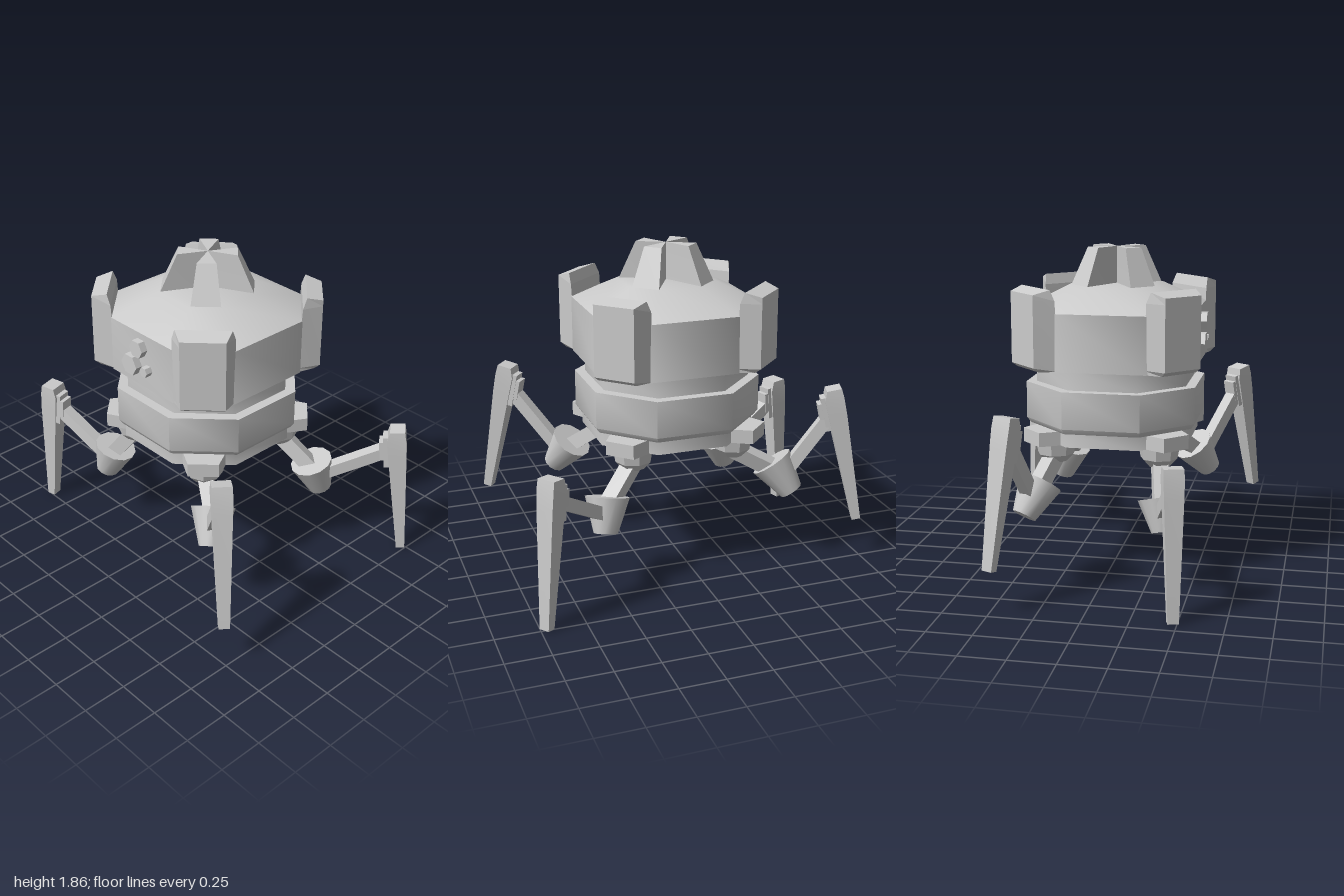
import * as THREE from 'three';
import { toCreasedNormals } from 'three/addons/utils/BufferGeometryUtils.js';

const grey = new THREE.MeshStandardMaterial({ color: 0xcccccc });
const V = (x, y, z) => new THREE.Vector3(x, y, z);

function mesh(name, geometry, parent, crease = 0.4) {
  const m = new THREE.Mesh(toCreasedNormals(geometry, crease), grey);
  m.name = name;
  parent.add(m);
  return m;
}

// Skin a stack of cross-sections (each a loop of [x, y, z]) and cap both ends
function loft(rings) {
  const pos = [];
  const tri = (...p) => p.forEach((q) => pos.push(...q));
  const n = rings[0].length;
  for (let r = 0; r + 1 < rings.length; r++) {
    const lo = rings[r], hi = rings[r + 1];
    for (let i = 0; i < n; i++) {
      const j = (i + 1) % n;
      tri(lo[i], hi[i], hi[j]);
      tri(lo[i], hi[j], lo[j]);
    }
  }
  const first = rings[0], last = rings[rings.length - 1];
  for (let i = 1; i + 1 < n; i++) {
    tri(first[0], first[i], first[i + 1]);
    tri(last[0], last[i + 1], last[i]);
  }
  const g = new THREE.BufferGeometry();
  g.setAttribute('position', new THREE.Float32BufferAttribute(pos, 3));
  return g;
}

// Octagon: a = distance to the flats, c = half width of the four main flats
const octagon = (y, a, c) => [[a, c], [c, a], [-c, a], [-a, c], [-a, -c], [-c, -a], [c, -a], [a, -c]]
  .map(([x, z]) => [x, y, z]);

// Trapezoid across a radial axis: inner distance, half width and height, then outer
const trapezoid = (di, hi, yi, dOut, ho, yo) =>
  [[di, yi, -hi], [dOut, yo, -ho], [dOut, yo, ho], [di, yi, hi]];

// Stand an object at point a with its y axis toward b and x axis leaning along out
function orient(obj, a, b, out) {
  const y = b.clone().sub(a).normalize();
  const z = out.clone().cross(y).normalize();
  const x = y.clone().cross(z);
  obj.quaternion.setFromRotationMatrix(new THREE.Matrix4().makeBasis(x, y, z));
  obj.position.copy(a);
  return obj;
}

function strut(name, a, b, width, out, parent) {
  const len = a.distanceTo(b);
  const g = new THREE.BoxGeometry(width, len, width).translate(0, len / 2, 0);
  orient(mesh(name, g, parent), a, b, out);
}

function buildBody() {
  const body = new THREE.Group();
  body.name = 'body';
  body.position.x = 0.04;

  // Hollow base plate, wide ring and narrow neck in one profile
  mesh('lowerHull', loft([
    [0.93, 0.2], [0.78, 0.36], [0.78, 0.45], [0.86, 0.45], [0.86, 0.465],
    [0.89, 0.485], [1.1, 0.485], [1.1, 0.43], [1.215, 0.43],
  ].map(([y, a]) => octagon(y, a, a * 0.45))), body, 0.85);

  // Upper drum with sloping roof
  mesh('upperHull', loft([
    octagon(1.21, 0.485, 0.25), octagon(1.53, 0.485, 0.25), octagon(1.65, 0.25, 0.12),
  ]), body, 0.85);

  for (let k = 0; k < 4; k++) {
    const corner = new THREE.Group();
    corner.name = 'corner';
    corner.rotation.y = -Math.PI / 4 - (k * Math.PI) / 2;
    body.add(corner);

    mesh('cornerPost', loft([
      trapezoid(0.5, 0.166, 1.21, 0.595, 0.115, 1.21),
      trapezoid(0.5, 0.166, 1.235, 0.629, 0.12, 1.235),
      trapezoid(0.52, 0.166, 1.6, 0.629, 0.12, 1.6),
      trapezoid(0.54, 0.15, 1.66, 0.629, 0.12, 1.635),
    ]), corner, 0.1);

    mesh('legMount', loft([0.78, 0.86].map((y) => trapezoid(0.42, 0.13, y, 0.58, 0.085, y))), corner);

    // Faceted hip socket under the mount
    const socket = [[0, 0.655], [0.065, 0.665], [0.105, 0.71], [0.118, 0.785], [0, 0.785]];
    const g = new THREE.LatheGeometry(socket.map(([r, y]) => new THREE.Vector2(r, y)), 8);
    mesh('hipSocket', g, corner, 0.1).position.x = 0.42;

    // Wedge of the roof cap, widening from the centre line
    mesh('roofFin', loft([
      [[0, 1.6, 0], [0.27, 1.6, -0.09], [0.27, 1.6, 0.09]],
      [[0, 1.65, 0], [0.255, 1.65, -0.082], [0.255, 1.65, 0.082]],
      [[0, 1.86, 0], [0.163, 1.86, -0.053], [0.163, 1.86, 0.053]],
    ]), corner, 0.1);
  }

  // Hexagonal studs on the front
  for (const [x, y, r] of [[0, 1.447, 0.053], [-0.06, 1.33, 0.063], [0.06, 1.33, 0.03]]) {
    const g = new THREE.CylinderGeometry(r, r, 0.06, 6).rotateY(Math.PI / 6 + Math.PI / 3)
      .rotateX(Math.PI / 2).rotateZ(Math.PI / 6 * (1 - 1));
    g.rotateZ(hexTurn(g));
    mesh('hexStud', g, body).position.set(x, y, 0.495);
  }
  return body;
}

// Turn needed to bring a hexagon's first corner onto the x axis
function hexTurn(g) {
  const p = g.attributes.position;
  return -Math.atan2(p.getY(0), p.getX(0));
}

// Tapered foot blade: rows of [fraction, inner x, outer x, half thickness]
function bladeGeometry(len) {
  return loft([
    [0, -0.025, 0.025, 0.03], [0.8, -0.055, 0.05, 0.052],
    [0.93, -0.06, 0.05, 0.055], [1, -0.04, 0.045, 0.053],
  ].map(([t, a, b, h]) => [[b, t * len, -h], [b, t * len, h], [a, t * len, h], [a, t * len, -h]]));
}

function buildLeg({ name, hip, rim, base, top, tip }) {
  const leg = new THREE.Group();
  leg.name = name;
  const out = V(tip.x - rim.x, 0, tip.z - rim.z).normalize();

  strut('upperStrut', hip, rim.clone().lerp(base, 0.3), 0.085, out, leg);

  // Bucket-shaped knee
  const depth = rim.distanceTo(base);
  const cup = new THREE.CylinderGeometry(0.125, 0.068, depth, 12).translate(0, depth / 2, 0);
  orient(mesh('kneeCup', cup, leg, 0.7), base, rim, out);

  // Strut rising to the foot blade
  const joint = tip.clone().lerp(top, 0.86);
  strut('lowerStrut', rim.clone().lerp(base, 0.5), joint, 0.072, out, leg);

  // Foot blade with a stepped bracket on its inner side
  const foot = new THREE.Group();
  foot.name = 'foot';
  leg.add(foot);
  const len = top.distanceTo(tip);
  mesh('blade', bladeGeometry(len), foot, 0.1);
  mesh('bracketPlate', new THREE.BoxGeometry(0.04, 0.2, 0.085), foot).position.set(-0.062, len * 0.83, 0);
  mesh('bracketStep', new THREE.BoxGeometry(0.04, 0.12, 0.08), foot).position.set(-0.085, len * 0.84, 0);
  orient(foot, tip, top, out);
  return leg;
}

export function createModel() {
  const model = new THREE.Group();
  model.name = 'walker';
  model.add(buildBody());

  // One diagonal pair is lifted, the other stands on the ground
  const legs = [
    { name: 'frontLeftLeg', hip: V(0.34, 0.7, 0.3), rim: V(0.51, 0.6, 0.39), base: V(0.6, 0.43, 0.49), top: V(0.83, 1.04, 0.635), tip: V(0.965, 0.24, 0.735) },
    { name: 'frontRightLeg', hip: V(-0.26, 0.7, 0.3), rim: V(-0.42, 0.52, 0.33), base: V(-0.475, 0.345, 0.36), top: V(-0.85, 0.82, 0.46), tip: V(-0.905, 0, 0.475) },
    { name: 'backRightLeg', hip: V(-0.26, 0.7, -0.3), rim: V(-0.49, 0.6, -0.33), base: V(-0.59, 0.43, -0.4), top: V(-0.82, 1.04, -0.42), tip: V(-0.97, 0.24, -0.49) },
    { name: 'backLeftLeg', hip: V(0.34, 0.7, -0.3), rim: V(0.52, 0.55, -0.39), base: V(0.55, 0.36, -0.45), top: V(0.9, 0.83, -0.685), tip: V(0.965, 0, -0.74) },
  ];
  for (const leg of legs) model.add(buildLeg(leg));
  return model;
}
